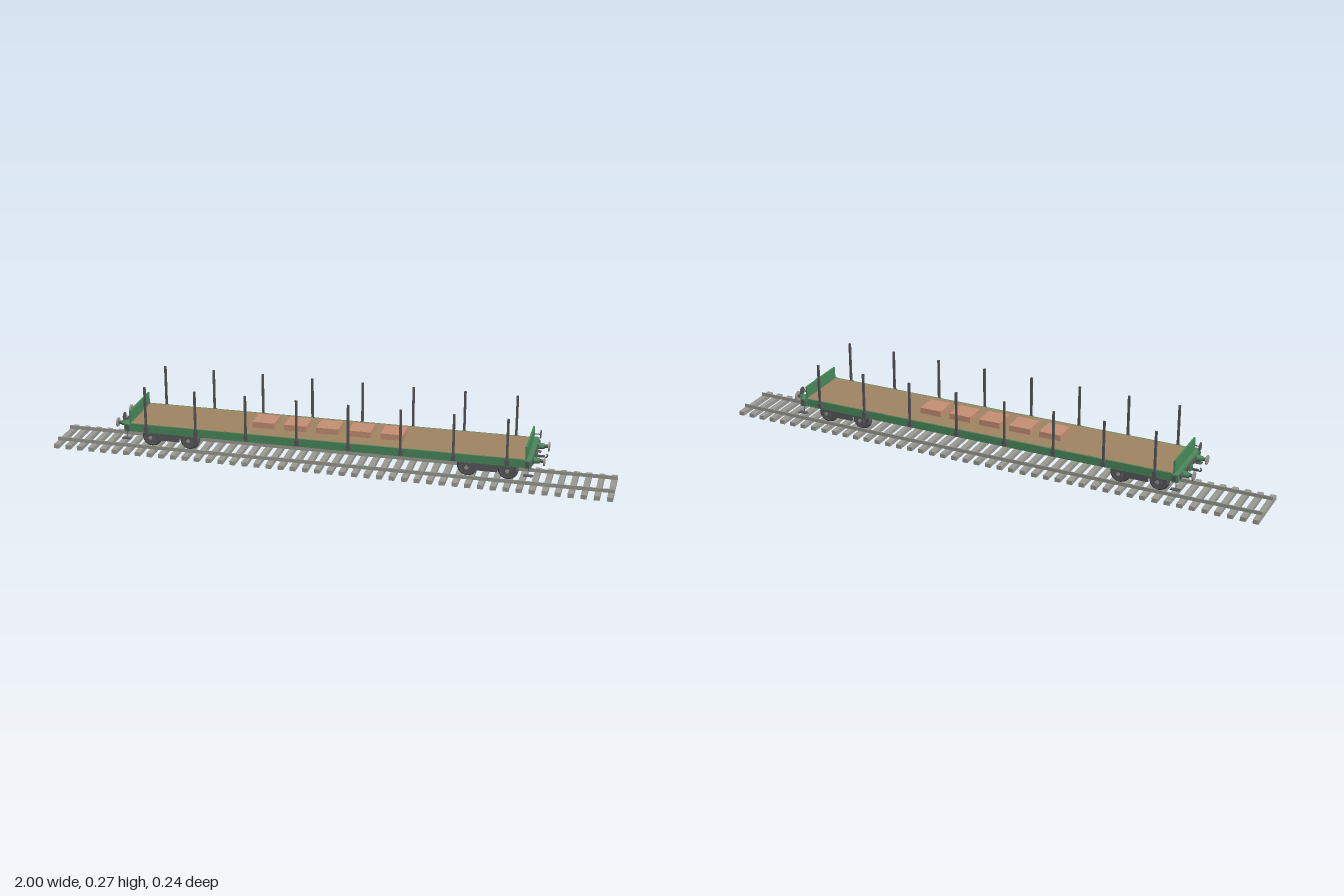
import * as THREE from 'three';

const mat = (name, color, side = THREE.FrontSide) => {
  const m = new THREE.MeshStandardMaterial({ color, side });
  m.name = name;
  return m;
};

export function createModel() {
  const green = mat('green paint', 0x4a8a5c);
  const planks = mat('deck planks', 0x9f8564);
  const iron = mat('dark iron', 0x59585c);
  const steel = mat('pale steel', 0x9b9b93);
  const crateWood = mat('crate wood', 0xc69074);

  const root = new THREE.Group();
  root.name = 'flatWagonOnTrack';

  // Box given by its extents on each axis
  const box = (parent, name, m, x0, x1, y0, y1, z0, z1) => {
    const mesh = new THREE.Mesh(new THREE.BoxGeometry(x1 - x0, y1 - y0, z1 - z0), m);
    mesh.position.set((x0 + x1) / 2, (y0 + y1) / 2, (z0 + z1) / 2);
    mesh.name = name;
    parent.add(mesh);
    return mesh;
  };
  // Cylinder along x or z, centred at the given point
  const rod = (parent, name, m, axis, r0, r1, len, x, y, z, sides = 24) => {
    const g = new THREE.CylinderGeometry(r1, r0, len, sides);
    if (axis === 'x') g.rotateZ(-Math.PI / 2);
    else g.rotateX(Math.PI / 2);
    const mesh = new THREE.Mesh(g, m);
    mesh.position.set(x, y, z);
    mesh.name = name;
    parent.add(mesh);
    return mesh;
  };
  const group = (name, x = 0) => {
    const g = new THREE.Group();
    g.name = name;
    g.position.x = x;
    root.add(g);
    return g;
  };

  // Track
  const track = group('track');
  for (let i = 0; i < 46; i++) {
    const x = -0.99 + i * 0.044;
    box(track, 'sleeper', steel, x - 0.01, x + 0.01, 0, 0.015, -0.1, 0.1);
  }
  for (const s of [-1, 1]) {
    box(track, 'railWeb', steel, -1, 1, 0.015, 0.028, s * 0.058 - 0.002, s * 0.058 + 0.002);
  }

  // Deck, sills and underframe
  const body = group('body');
  box(body, 'deck', planks, -0.7, 0.7, 0.117, 0.126, -0.102, 0.102);
  for (const s of [-1, 1]) {
    box(body, 'sideSill', green, -0.705, 0.705, 0.097, 0.1255, s * 0.104 - 0.003, s * 0.104 + 0.003);
    box(body, 'sillFlange', green, -0.7, 0.7, 0.097, 0.1, s * 0.095 - 0.008, s * 0.095 + 0.008);
    box(body, 'centreSill', green, -0.7, 0.7, 0.098, 0.117, s * 0.028 - 0.003, s * 0.028 + 0.003);
  }
  for (let i = 0; i < 9; i++) {
    const x = -0.56 + i * 0.14;
    box(body, 'crossBeam', iron, x - 0.004, x + 0.004, 0.102, 0.117, -0.101, 0.101);
  }

  // Side stakes in their pockets
  const stakes = group('stakes');
  for (let i = 0; i < 8; i++) {
    const x = -0.64 + i * 0.1829;
    for (const s of [-1, 1]) {
      const z = s * 0.113;
      box(stakes, 'stake', iron, x - 0.004, x + 0.004, 0.102, 0.27, z - 0.003, z + 0.003);
      box(stakes, 'stakePocket', iron, x - 0.007, x + 0.007, 0.103, 0.123, s * 0.1125 - 0.0055, s * 0.1125 + 0.0055);
    }
  }

  // Crates on the deck
  const crates = group('crates');
  for (let i = -2; i <= 2; i++) {
    const x = i * 0.115;
    box(crates, 'crate', crateWood, x - 0.04, x + 0.04, 0.126, 0.147, -0.04, 0.04);
  }

  // Bogies
  const wheelProfile = [[0.001, -0.004], [0.026, -0.004], [0.028, -0.006], [0.034, -0.006],
    [0.035, 0.004], [0.038, 0.004], [0.038, 0.006], [0.028, 0.006], [0.026, 0.003], [0.001, 0.003]]
    .map(([r, h]) => new THREE.Vector2(r * 0.95, h));
  const wheelGeo = new THREE.LatheGeometry(wheelProfile, 28);
  const wheelMat = mat('wheel iron', 0x59585c, THREE.DoubleSide);
  for (const end of [-1, 1]) {
    const bogie = group('bogie', end * 0.568);
    for (const w of [-0.07, 0.07]) {
      rod(bogie, 'axle', steel, 'z', 0.004, 0.004, 0.13, w, 0.064, 0, 12);
      for (const s of [-1, 1]) {
        const wheel = new THREE.Mesh(wheelGeo, wheelMat);
        wheel.rotation.x = -s * Math.PI / 2;
        wheel.position.set(w, 0.064, s * 0.058);
        wheel.name = 'wheel';
        bogie.add(wheel);
        box(bogie, 'axleBox', iron, w - 0.013, w + 0.013, 0.056, 0.082, s * 0.071 - 0.006, s * 0.071 + 0.006);
        rod(bogie, 'axleCap', steel, 'z', 0.007, 0.007, 0.003, w, 0.066, s * 0.0775, 14);
      }
    }
    for (const s of [-1, 1]) {
      const z = s * 0.07;
      box(bogie, 'sideFrame', iron, -0.09, 0.09, 0.073, 0.086, z - 0.004, z + 0.004);
      box(bogie, 'springPlank', iron, -0.035, 0.035, 0.057, 0.074, z - 0.004, z + 0.004);
      box(bogie, 'sideBearer', iron, -0.012, 0.012, 0.085, 0.098, z - 0.005, z + 0.005);
    }
    box(bogie, 'bolster', iron, -0.022, 0.022, 0.074, 0.094, -0.068, 0.068);
    rod(bogie, 'pivot', iron, 'z', 0.012, 0.012, 0.03, 0, 0.096, 0, 16);
  }

  // Wagon ends: built at +x and turned round for the other end
  for (const end of [1, -1]) {
    const e = group(end > 0 ? 'leftEnd' : 'rightEnd');
    if (end < 0) e.rotation.y = Math.PI;
    box(e, 'endBeam', green, 0.7, 0.722, 0.097, 0.125, -0.113, 0.113);
    box(e, 'bufferPlate', iron, 0.722, 0.727, 0.106, 0.12, -0.1, 0.1);
    box(e, 'endBoard', green, 0.7, 0.706, 0.125, 0.17, -0.1, 0.1);
    for (const s of [-1, 1]) {
      const z = s * 0.067;
      box(e, 'cornerPocket', iron, 0.702, 0.716, 0.102, 0.123, s * 0.115 - 0.003, s * 0.115 + 0.003);
      rod(e, 'bufferHousing', green, 'x', 0.012, 0.009, 0.022, 0.735, 0.111, z);
      rod(e, 'bufferStem', iron, 'x', 0.006, 0.006, 0.018, 0.751, 0.111, z, 16);
      rod(e, 'bufferHead', steel, 'x', 0.0165, 0.0165, 0.005, 0.761, 0.111, z);
      // Shunter's step and its hanger
      box(e, 'step', iron, 0.697, 0.73, 0.0705, 0.0725, s * 0.111 - 0.009, s * 0.111 + 0.009);
      box(e, 'stepHanger', iron, 0.712, 0.714, 0.0715, 0.1, s * 0.104 - 0.001, s * 0.104 + 0.001);
    }
    // Draw hook
    box(e, 'drawPlate', green, 0.722, 0.73, 0.096, 0.116, -0.012, 0.012);
    box(e, 'drawBar', iron, 0.728, 0.755, 0.097, 0.104, -0.003, 0.003);
    const hook = new THREE.Mesh(new THREE.TorusGeometry(0.006, 0.0025, 8, 16, Math.PI * 1.4), iron);
    hook.position.set(0.758, 0.104, 0);
    hook.rotation.z = Math.PI;
    hook.name = 'drawHook';
    e.add(hook);
    // Hand brake wheel
    rod(e, 'brakeWheel', iron, 'x', 0.0148, 0.0148, 0.003, 0.728, 0.145, -0.088);
    rod(e, 'brakeShaft', iron, 'x', 0.002, 0.002, 0.024, 0.717, 0.145, -0.088, 8);
  }
  return root;
}
